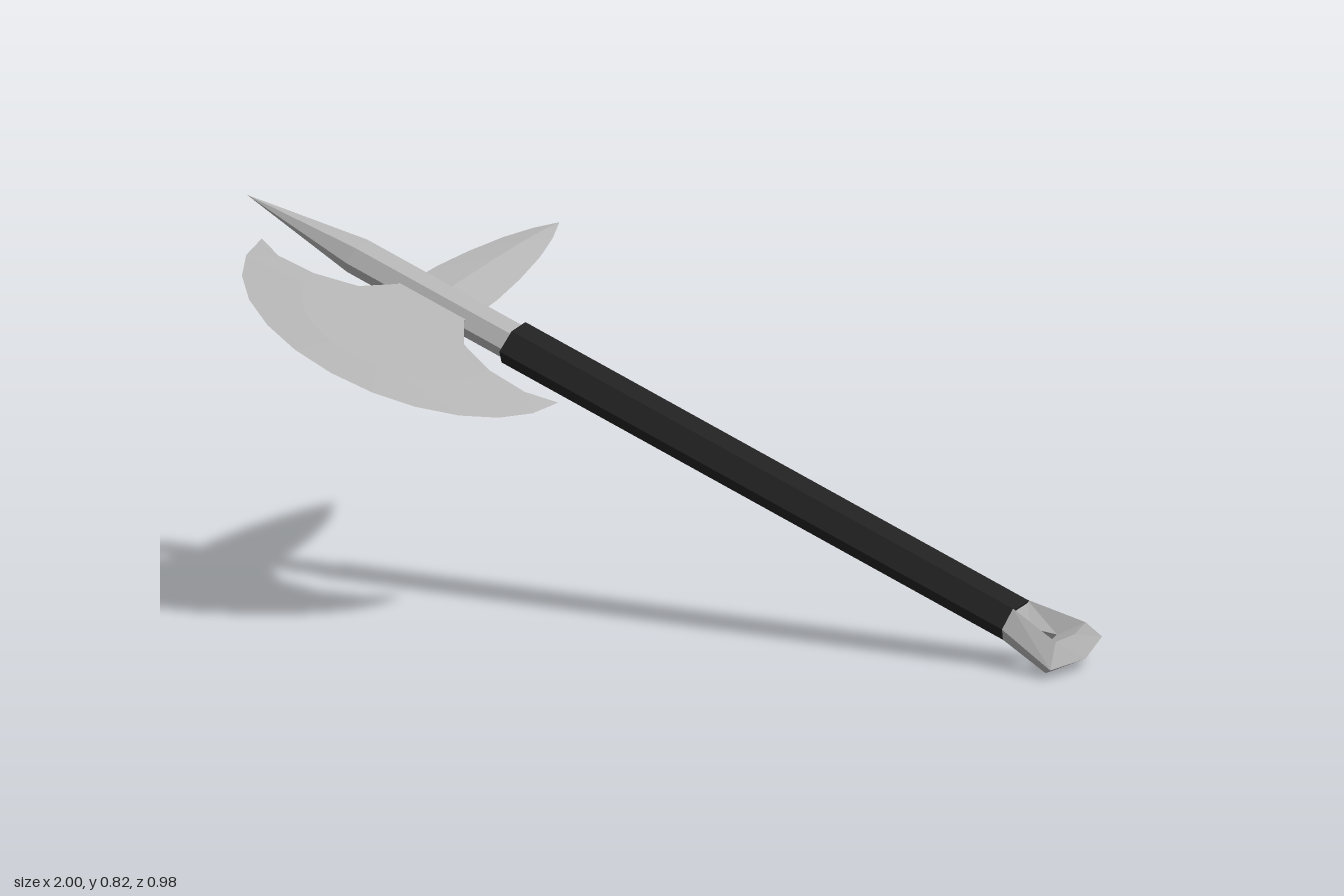
import * as THREE from 'three';

const metal = new THREE.MeshStandardMaterial({ color: 0xb2b2b2, flatShading: true });
metal.name = 'steel grey';
const grip = new THREE.MeshStandardMaterial({ color: 0x212121, flatShading: true });
grip.name = 'grip black';

// Flat-shaded geometry from point triples, skipping zero-area triangles
function facets(tris) {
  const pos = [];
  for (const [a, b, c] of tris) {
    const [p, q, r] = [a, b, c].map((v) => new THREE.Vector3(...v));
    if (new THREE.Triangle(p, q, r).getArea() > 1e-8) pos.push(...a, ...b, ...c);
  }
  const g = new THREE.BufferGeometry();
  g.setAttribute('position', new THREE.Float32BufferAttribute(pos, 3));
  g.computeVertexNormals();
  return g;
}

// Skin over matching rings (counter-clockwise about the path), with end caps
function loft(rings) {
  const tris = [], n = rings[0].length, last = rings[rings.length - 1];
  for (let k = 0; k + 1 < rings.length; k++) {
    for (let i = 0; i < n; i++) {
      const j = (i + 1) % n, a = rings[k], b = rings[k + 1];
      tris.push([a[i], a[j], b[j]], [a[i], b[j], b[i]]);
    }
  }
  for (let i = 1; i + 1 < n; i++) {
    tris.push([rings[0][0], rings[0][i + 1], rings[0][i]], [last[0], last[i], last[i + 1]]);
  }
  return facets(tris);
}

// Solid mirrored in z: upper triangles, their mirror, and walls along an edge path
function mirroredSolid(upper, wall = []) {
  const down = ([x, y, z]) => [x, y, -z];
  const tris = [...upper, ...upper.map(([a, b, c]) => [down(a), down(c), down(b)])];
  for (let i = 0; i + 1 < wall.length; i++) {
    const p = wall[i], q = wall[i + 1];
    tris.push([p, down(p), down(q)], [p, down(q), q]);
  }
  return facets(tris);
}

const fan = (c, loop) => loop.slice(1).map((p, i) => [c, loop[i], p]);

// Flattened hexagon across the shaft: half width, half thickness, half flat
const hexRing = (y, w, t, f) =>
  [[w, 0], [f, -t], [-f, -t], [-w, 0], [-f, t], [f, t]].map(([x, z]) => [x, y, z]);

const HEAD = 0.19; // height of the blade centre line

function bladeGeometry() {
  const N = 12, T = 0.015;
  const arc = (cx, rx, ry, z) => Array.from({ length: N + 1 }, (_, i) => {
    const a = -Math.PI / 2 + (Math.PI * i) / N;
    return [cx + rx * Math.cos(a), HEAD + ry * Math.sin(a), z];
  });
  const edge = arc(0.127, 0.343, 0.38, 0);
  const inner = arc(0.172, 0.215, 0.225, T);
  const half = [[0.13, 0.135], [0.045, 0.085], [0, 0.085]];
  const neck = [
    ...half.map(([x, y]) => [x, HEAD + y, T]),
    ...half.slice().reverse().map(([x, y]) => [x, HEAD - y, T]),
  ];
  const hookTop = [0.168, HEAD + 0.315, 0.008], hookLow = [0.168, HEAD - 0.315, 0.008];
  const tris = fan([0.19, HEAD, T], [...inner, ...neck, inner[0]]);
  // Sharpened bevel
  for (let i = 1; i < N - 1; i++) {
    tris.push([edge[i], edge[i + 1], inner[i + 1]], [edge[i], inner[i + 1], inner[i]]);
  }
  // Hooked horns
  tris.push(...fan(edge[N - 1], [edge[N], hookTop, inner[N], inner[N - 1]]));
  tris.push(...fan(edge[1], [inner[1], inner[0], hookLow, edge[0]]));
  return mirroredSolid(tris, [edge[N], hookTop, inner[N], ...neck, inner[0], hookLow, edge[0]]);
}

function pommelGeometry() {
  // Bevelled ring: outer edge, raised ridge, and edge of the hole
  const outer = [[0.06, -1.285, 0], [-0.06, -1.285, 0], [-0.112, -1.442, 0], [0, -1.466, 0], [0.112, -1.442, 0]];
  const ridge = [[0.03, -1.285, 0.04], [-0.03, -1.285, 0.04], [-0.065, -1.415, 0.04], [0, -1.425, 0.04], [0.065, -1.415, 0.04]];
  const hole = [[0, -1.325, 0], [0, -1.325, 0], [-0.03, -1.375, 0], [0, -1.378, 0], [0.03, -1.375, 0]];
  const tris = [];
  for (const [a, b] of [[outer, ridge], [ridge, hole]]) {
    for (let i = 0; i < 5; i++) {
      const j = (i + 1) % 5;
      tris.push([a[i], a[j], b[j]], [a[i], b[j], b[i]]);
    }
  }
  return mirroredSolid(tris);
}

export function createModel() {
  const model = new THREE.Group();
  model.name = 'battleAxe';
  const add = (name, geometry, material) => {
    const mesh = new THREE.Mesh(geometry, material);
    mesh.name = name;
    model.add(mesh);
  };

  add('handle', loft([hexRing(-1.29, 0.061, 0.04, 0.03), hexRing(0, 0.061, 0.04, 0.03)]), grip);
  add('headShaftAndPoint', loft([
    hexRing(-0.02, 0.048, 0.031, 0.027),
    hexRing(0.4, 0.048, 0.031, 0.027),
    hexRing(0.683, 0, 0, 0),
  ]), metal);
  add('blade', bladeGeometry(), metal);

  // Back spike: reach, half height, half thickness of each diamond section
  const sections = [[0, 0.083, 0.021], [0.12, 0.078, 0.021], [0.235, 0.066, 0.02],
    [0.355, 0.047, 0.016], [0.45, 0.024, 0.009], [0.519, 0, 0]];
  add('backSpike', loft(sections.map(([r, h, t]) =>
    [[-r, HEAD + h, 0], [-r, HEAD, -t], [-r, HEAD - h, 0], [-r, HEAD, t]])), metal);

  add('pommel', pommelGeometry(), metal);

  // Lean the axe: local y runs up the handle, local x towards the blade
  const up = new THREE.Vector3(-0.93, 0.368, -0.005).normalize();
  const across = new THREE.Vector3(-0.048, -0.121, 0.9915);
  const side = across.clone().cross(up).normalize();
  across.copy(up).cross(side);
  model.quaternion.setFromRotationMatrix(new THREE.Matrix4().makeBasis(across, up, side));
  model.position.set(-0.365, 0.568, 0.025);

  const root = new THREE.Group();
  root.name = 'axe';
  root.add(model);
  return root;
}
